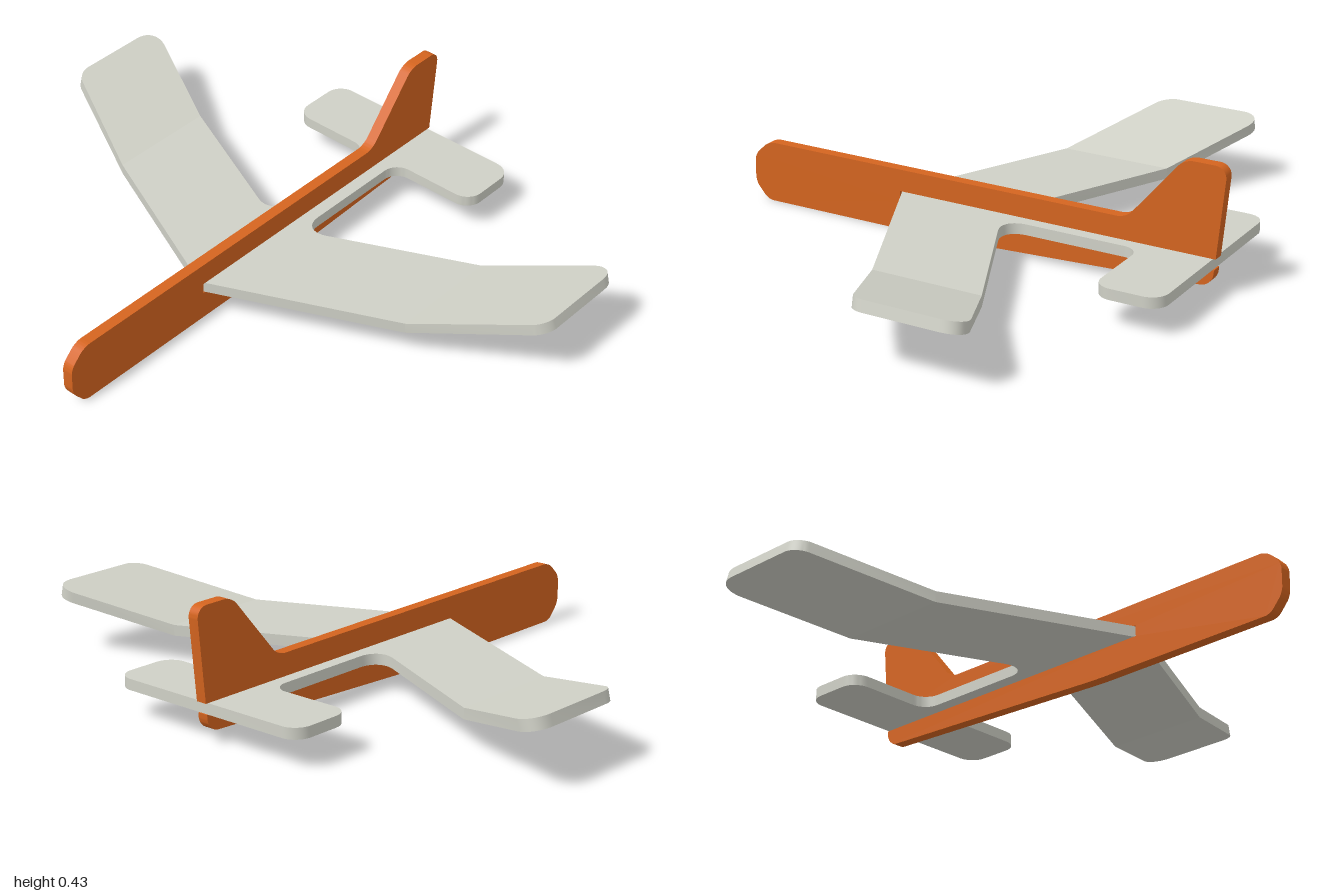
import * as THREE from 'three';
import { toCreasedNormals } from 'three/addons/utils/BufferGeometryUtils.js';

// Closed shape from [x, y, trim] corners; trim is the length each edge gives up to the rounding
function roundedShape(points) {
  const shape = new THREE.Shape();
  const n = points.length;
  const at = (i) => new THREE.Vector2(points[(i + n) % n][0], points[(i + n) % n][1]);
  points.forEach(([, , trim = 0], i) => {
    const p = at(i);
    const along = (q, d) => p.clone().add(q.sub(p).setLength(d));
    const a = trim ? along(at(i - 1), trim) : p;
    if (i === 0) shape.moveTo(a.x, a.y);
    else shape.lineTo(a.x, a.y);
    if (trim) {
      const b = along(at(i + 1), trim);
      const c1 = along(at(i - 1), trim * 0.45);
      const c2 = along(at(i + 1), trim * 0.45);
      shape.bezierCurveTo(c1.x, c1.y, c2.x, c2.y, b.x, b.y);
    }
  });
  shape.closePath();
  return shape;
}

const extrude = (points, depth) =>
  new THREE.ExtrudeGeometry(roundedShape(points), { depth, bevelEnabled: false, curveSegments: 10 });

const PLATE_Y = 0.1, PLATE_T = 0.036, FOLD = 0.604;

// Horizontal plate from a plan outline of [x, z, trim]
function plate(points) {
  const g = extrude(points.map(([x, z, r]) => [x, -z, r]), PLATE_T);
  return g.rotateX(-Math.PI / 2).translate(0, PLATE_Y, 0);
}

export function createModel() {
  const orange = new THREE.MeshStandardMaterial({ color: 0xd4641f });
  orange.name = 'orange';
  const grey = new THREE.MeshStandardMaterial({ color: 0xcfd0c6 });
  grey.name = 'lightGrey';

  const group = new THREE.Group();
  group.name = 'gliderPlane';
  const add = (name, geometry, material) => {
    const mesh = new THREE.Mesh(toCreasedNormals(geometry, 0.5), material);
    mesh.name = name;
    group.add(mesh);
  };

  // Fuselage and fin in one flat profile, slotted from the rear for the wing plate
  add('fuselageWithFin', extrude([
    [-0.86, 0.06, 0.02], [-0.812, 0.004, 0.02], [-0.12, 0.004, 0.04], [0.82, 0.046, 0.04],
    [0.825, PLATE_Y], [-0.29, PLATE_Y], [-0.29, PLATE_Y + PLATE_T], [0.829, PLATE_Y + PLATE_T],
    [0.857, 0.435, 0.04], [0.715, 0.435, 0.03], [0.525, 0.21, 0.03],
    [-0.805, 0.21, 0.025], [-0.86, 0.155, 0.02],
  ], 0.037).translate(0, 0, -0.0185), orange);

  // Flat inner wing, boom and tailplane
  const half = [
    [-0.017, FOLD], [0.36, FOLD], [0.111, 0.062, 0.092], [0.597, 0.062, 0.055],
    [0.597, 0.373, 0.058], [0.82, 0.373, 0.058],
  ];
  const mirrored = half.map(([x, z, r]) => [x, -z, r]).reverse();
  add('innerWingAndTailplane', plate([[-0.29, 0], ...half, ...mirrored]), grey);

  // Upswept wing tips
  for (const side of [1, -1]) {
    const tip = plate([
      [-0.017, FOLD], [0.165, 1, 0.045], [0.545, 1, 0.09], [0.36, FOLD],
    ].map(([x, z, r]) => [x, z * side, r]));
    const p = tip.attributes.position;
    for (let i = 0; i < p.count; i++) {
      const out = Math.abs(p.getZ(i)) - FOLD;
      const lean = 0.25 * (p.getY(i) - PLATE_Y) * (out / (1 - FOLD));
      p.setZ(i, side * (FOLD + out - lean));
      p.setY(i, p.getY(i) + 0.252 * out);
    }
    add(side > 0 ? 'wingTipFront' : 'wingTipBack', tip, grey);
  }
  return group;
}
